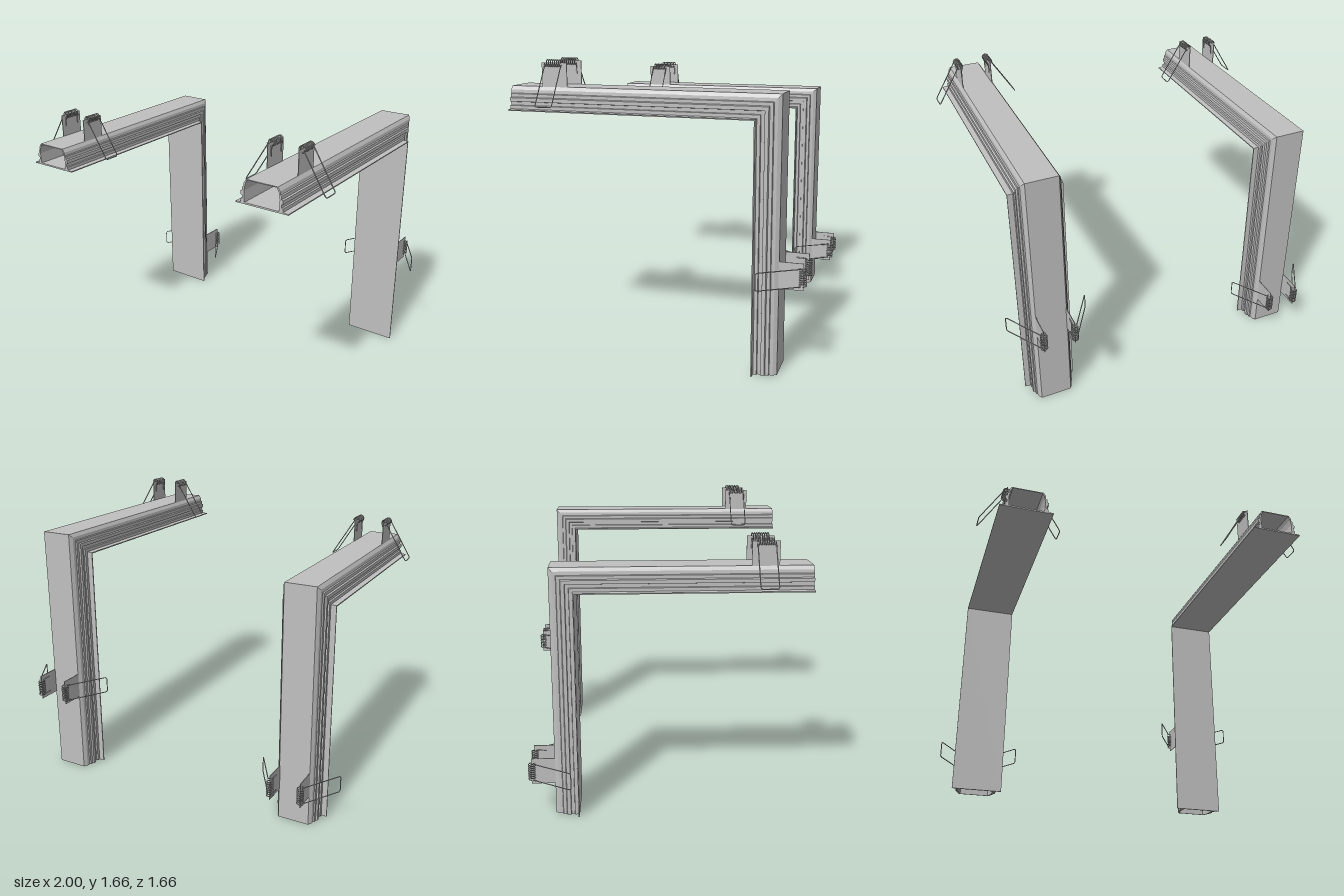
import * as THREE from 'three';

const aluminium = new THREE.MeshStandardMaterial({ color: 0xc0c0c0 });
aluminium.name = 'aluminium grey';
const H = 0.132; // profile height from flange face to back

const mirrored = (half) => [...half, ...half.slice().reverse().map(([u, h]) => [-u, h])];
const points = (list) => list.map(([u, h]) => new THREE.Vector2(u, h));

// Hollow trim section: wide flange, ribbed sides, chamfered back
function trimSection() {
  const outer = [
    [0.153, 0], [0.153, 0.006], [0.122, 0.008], [0.122, 0.026], [0.113, 0.028],
    [0.113, 0.046], [0.122, 0.048], [0.122, 0.068], [0.113, 0.072], [0.113, 0.09],
    [0.106, 0.093], [0.104, 0.112], [0.091, H],
  ];
  const inner = [[0.1, 0.009], [0.103, 0.07], [0.096, 0.105], [0.086, H - 0.005]];
  const shape = new THREE.Shape(points(mirrored(outer)));
  shape.holes.push(new THREE.Path(points(mirrored(inner))));
  return shape;
}

// Section swept along a right-angle path with a mitred corner
function corneredTrim(flangeY, flangeZ, frontZ) {
  const geo = new THREE.ExtrudeGeometry(trimSection(), { depth: 2, steps: 2, bevelEnabled: false });
  const p = geo.attributes.position;
  for (let i = 0; i < p.count; i++) {
    const u = p.getX(i), h = p.getY(i), t = Math.round(p.getZ(i));
    p.setXYZ(i, -u, t === 2 ? 0 : flangeY + h, t === 0 ? frontZ : flangeZ - h);
  }
  geo.computeVertexNormals();
  const mesh = new THREE.Mesh(geo, aluminium);
  mesh.name = 'corneredTrim';
  return mesh;
}

function wire(name, pts, segments, sides = 6) {
  const path = new THREE.CurvePath();
  const v = pts.map((a) => new THREE.Vector3(...a));
  for (let i = 1; i < v.length; i++) path.add(new THREE.LineCurve3(v[i - 1], v[i]));
  const mesh = new THREE.Mesh(new THREE.TubeGeometry(path, segments, 0.003, sides), aluminium);
  mesh.name = name;
  return mesh;
}

// One spring clip: upright plate, coil and sprung wire loop leaning outwards
function springClip() {
  const clip = new THREE.Group();
  clip.name = 'springClip';
  const plate = new THREE.Mesh(new THREE.BoxGeometry(0.004, 0.15, 0.148), aluminium);
  plate.name = 'clipPlate';
  plate.position.set(0.09, 0.055, 0);
  clip.add(plate);

  const coil = [], turns = 8, n = turns * 14, R = 0.018, cy = 0.127, W = 0.048;
  for (let i = 0; i <= n; i++) {
    const a = (i / n) * turns * Math.PI * 2;
    coil.push([0.09 + R * Math.cos(a), cy + R * Math.sin(a), -W + (2 * W * i) / n]);
  }
  clip.add(wire('coilSpring', coil, n * 2));

  // Loop with rounded corners, from one coil end to the other
  const along = (s, z) => [0.106 + 0.131 * s, 0.118 - 0.213 * s, z];
  const loop = [along(0, -W), along(0.95, -W), along(0.985, -W + 0.003), along(1, -W + 0.01),
    along(1, W - 0.01), along(0.985, W - 0.003), along(0.95, W), along(0, W)];
  clip.add(wire('clipLoop', loop, 120));

  // Short tails resting against the plate
  for (const z of [-W, W]) {
    clip.add(wire('springTail', [[0.075, 0.12, z], [0.084, 0.095, z], [0.084, 0.06, z]], 8));
  }
  return clip;
}

function clipPair(name) {
  const pair = new THREE.Group();
  pair.name = name;
  const a = springClip(), b = springClip();
  b.scale.x = -1;
  pair.add(a, b);
  return pair;
}

function cornerUnit(name, { x, flangeY, flangeZ, frontZ, clipZ, clipY }) {
  const unit = new THREE.Group();
  unit.name = name;
  unit.position.x = x;
  const top = clipPair('topClips');
  top.position.set(0, flangeY + H, clipZ);
  const back = clipPair('backClips');
  back.position.set(0, clipY, flangeZ - H);
  back.rotation.x = -Math.PI / 2;
  unit.add(corneredTrim(flangeY, flangeZ, frontZ), top, back);
  return unit;
}

export function createModel() {
  const model = new THREE.Group();
  model.name = 'corneredTrimPair';
  model.add(
    cornerUnit('leftCorner', { x: 0.758, flangeY: 1.378, flangeZ: -0.552, frontZ: 0.827, clipZ: 0.568, clipY: 0.564 }),
    cornerUnit('rightCorner', { x: -0.762, flangeY: 1.258, flangeZ: -0.49, frontZ: 0.766, clipZ: 0.51, clipY: 0.253 }),
  );
  return model;
}
